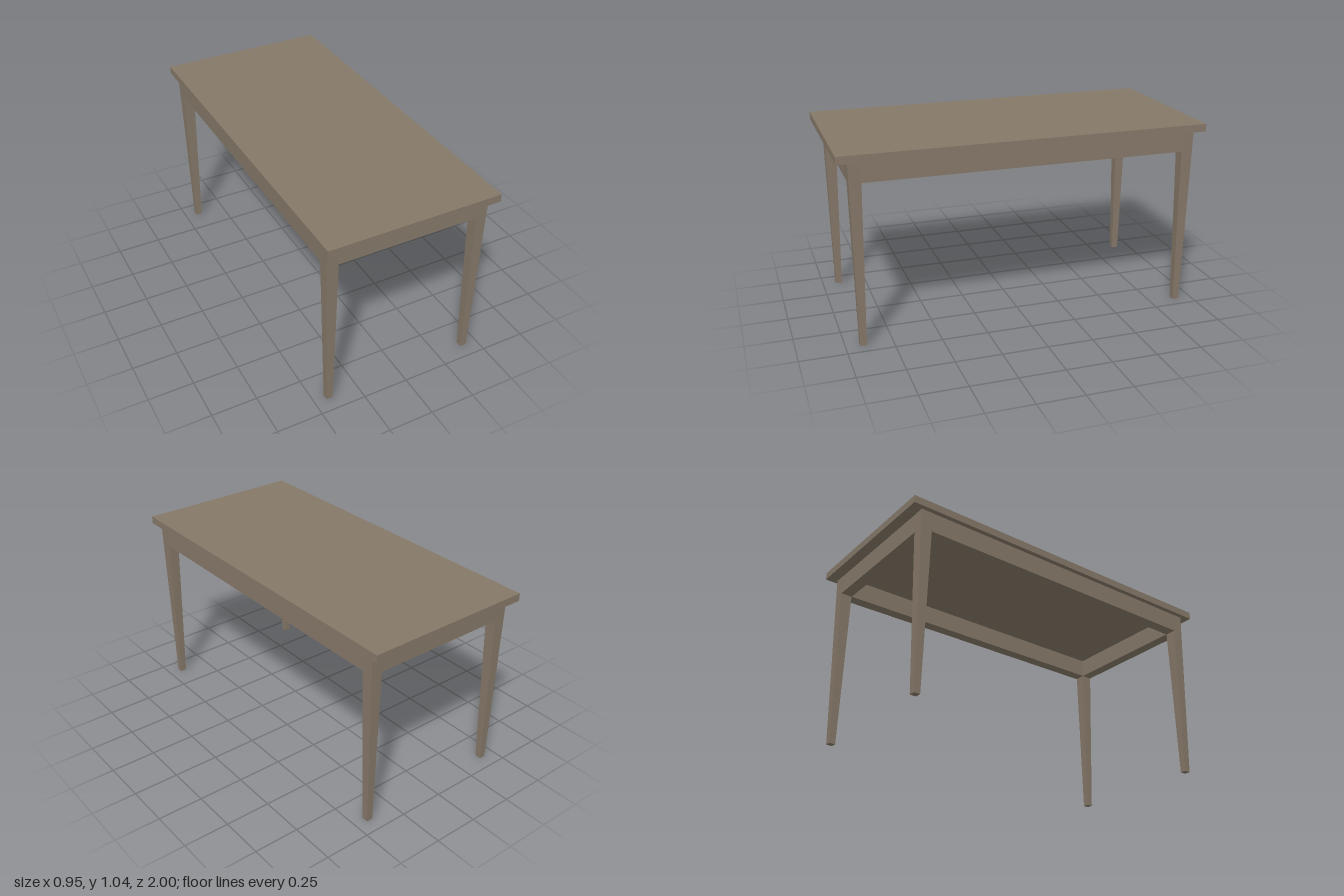
import * as THREE from 'three';

export function createModel() {
  const table = new THREE.Group();
  table.name = 'table';
  const wood = new THREE.MeshStandardMaterial({ color: 0x857868 });
  wood.name = 'greyBrownWood';

  const add = (name, geometry, x, y, z) => {
    const mesh = new THREE.Mesh(geometry, wood);
    mesh.name = name;
    mesh.position.set(x, y, z);
    table.add(mesh);
  };
  const box = (name, w, h, d, x, y, z) => add(name, new THREE.BoxGeometry(w, h, d), x, y, z);

  const topY = 1.0, topThick = 0.042;
  const legX = 0.416, legZ = 0.907, legTop = 0.067, legFoot = 0.035;
  const apronH = 0.11, apronThick = 0.065;

  // Slab top
  box('tableTop', 0.95, topThick, 2, 0, topY + topThick / 2, 0);

  // Square leg narrowing evenly toward the foot
  const legGeometry = new THREE.BoxGeometry(legTop, topY, legTop);
  const p = legGeometry.attributes.position;
  for (let i = 0; i < p.count; i++) {
    if (p.getY(i) < 0) {
      p.setX(i, p.getX(i) * legFoot / legTop);
      p.setZ(i, p.getZ(i) * legFoot / legTop);
    }
  }
  legGeometry.computeVertexNormals();

  for (const s of [1, -1]) {
    const side = s > 0 ? 'left' : 'right';
    const end = s > 0 ? 'front' : 'back';
    add(side + 'FrontLeg', legGeometry, s * legX, topY / 2, legZ);
    add(side + 'BackLeg', legGeometry, s * legX, topY / 2, -legZ);

    // Aprons running between the legs
    const y = topY - apronH / 2;
    box(side + 'Apron', apronThick, apronH, 2 * legZ - 0.05, s * legX, y, 0);
    box(end + 'Apron', 2 * legX - 0.05, apronH, apronThick, 0, y, s * legZ);
  }
  return table;
}
